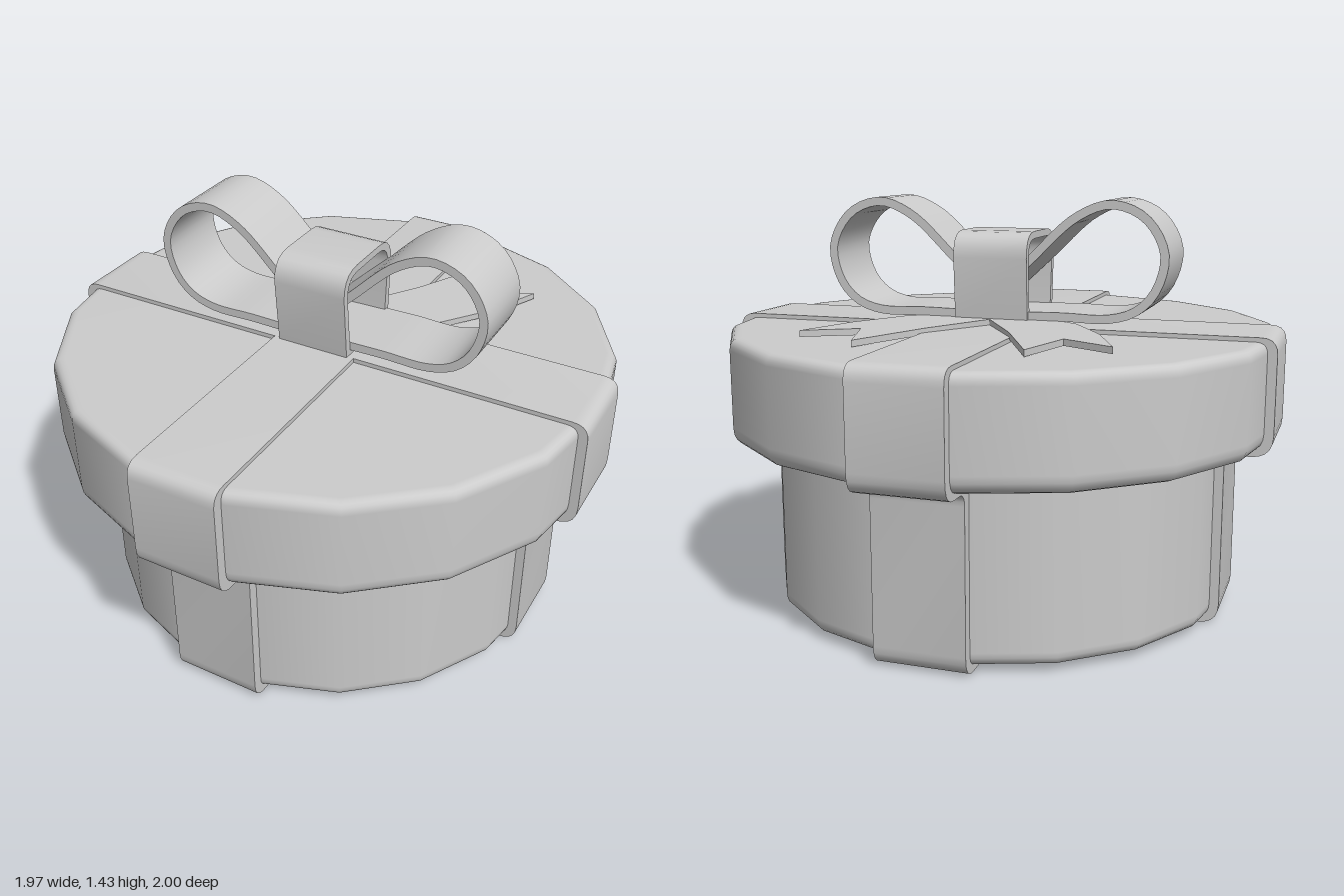
import * as THREE from 'three';
import { toCreasedNormals } from 'three/addons/utils/BufferGeometryUtils.js';

const material = new THREE.MeshStandardMaterial({ color: 0xcccccc });
const SIDES = 18;

function addMesh(group, name, geometry) {
  const mesh = new THREE.Mesh(geometry, material);
  mesh.name = name;
  group.add(mesh);
  return mesh;
}

// Extrude a shape, centred on its depth, with smooth curves and sharp edges
function slab(shape, depth) {
  const geo = new THREE.ExtrudeGeometry(shape, { depth, bevelEnabled: false, curveSegments: 5 });
  geo.translate(0, 0, -depth / 2);
  return toCreasedNormals(geo, 0.6);
}

// Round each corner [x, y, radius] of an open outline; returns Vector2 points
function roundedLine(corners) {
  const pts = [];
  corners.forEach(([x, y, r], i) => {
    const p = new THREE.Vector2(x, y);
    if (!r) return pts.push(p);
    const toward = ([a, b]) => new THREE.Vector2(a - x, b - y).setLength(r).add(p);
    const curve = new THREE.QuadraticBezierCurve(toward(corners[i - 1]), p, toward(corners[i + 1]));
    pts.push(...curve.getPoints(5));
  });
  return pts;
}

function turned(corners) {
  return new THREE.LatheGeometry(roundedLine(corners), SIDES, Math.PI / SIDES);
}

// Silhouette of a ribbon wrapped round the box and its lid
function wrapShape(bodyR, lidR) {
  const right = roundedLine([
    [0, 0], [bodyR, 0, 0.07], [bodyR, 0.6, 0.045], [lidR, 0.6, 0.075], [lidR, 1, 0.055], [0, 1],
  ]);
  const left = right.slice(1, -1).reverse().map((p) => new THREE.Vector2(-p.x, p.y));
  return new THREE.Shape([...right, ...left]);
}

// Thickened centre line of a bow loop
function stripShape(points, thickness) {
  const curve = new THREE.CatmullRomCurve3(points.map(([x, y]) => new THREE.Vector3(x, y, 0)));
  const outer = [], inner = [];
  const n = 48;
  for (let i = 0; i <= n; i++) {
    const p = curve.getPointAt(i / n);
    const t = curve.getTangentAt(i / n);
    const h = thickness / 2;
    outer.push(new THREE.Vector2(p.x - t.y * h, p.y + t.x * h));
    inner.unshift(new THREE.Vector2(p.x + t.y * h, p.y - t.x * h));
  }
  return new THREE.Shape([...outer, ...inner]);
}

// Arched outline of the knot, in the z-y plane
function knotOutline(target, zBack, zFront, bottom, top, r) {
  target.moveTo(zBack + 0.015, bottom);
  target.lineTo(zFront - 0.02, bottom);
  target.lineTo(zFront, top - r);
  target.quadraticCurveTo(zFront, top, zFront - r, top);
  target.lineTo(zBack + r, top);
  target.quadraticCurveTo(zBack, top, zBack, top - r);
  target.closePath();
  return target;
}

export function createModel() {
  const model = new THREE.Group();
  model.name = 'giftBox';

  // Box and lid
  addMesh(model, 'boxBody', turned([[0, 0.022], [0.82, 0.022, 0.05], [0.82, 0.65]]));
  addMesh(model, 'lid', turned([
    [0, 0.618], [0.978, 0.618, 0.065], [0.978, 0.985, 0.04], [0, 0.985],
  ]));

  // Crossed wrapping ribbons
  addMesh(model, 'sideRibbon', slab(wrapShape(0.825, 0.983), 0.306));
  addMesh(model, 'frontRibbon', slab(wrapShape(0.84, 1.0), 0.31)).rotation.y = -Math.PI / 2;

  const bow = new THREE.Group();
  bow.name = 'bow';
  model.add(bow);

  const loopPath = [
    [0.0, 1.10], [0.13, 1.22], [0.30, 1.375], [0.42, 1.418], [0.535, 1.375], [0.602, 1.26],
    [0.575, 1.135], [0.51, 1.065], [0.42, 1.035], [0.25, 1.035], [0.0, 1.03],
  ];
  // Tail outline as x and distance behind the centre
  const tailPath = [
    [0.0, 0.02], [0.0, 0.16], [0.145, 0.39], [0.285, 0.67], [0.35, 0.46],
    [0.53, 0.55], [0.435, 0.34], [0.315, 0.17], [0.25, 0.13], [0.12, 0.02],
  ];
  for (const s of [1, -1]) {
    const side = s > 0 ? 'left' : 'right';

    // Loops
    const loop = slab(stripShape(loopPath.map(([x, y]) => [s * x, y]), 0.03), 0.27);
    addMesh(bow, side + 'Loop', loop);

    // Forked tails, sloping down toward their tips
    const shape = new THREE.Shape(tailPath.map(([x, d]) => new THREE.Vector2(s * x, d)));
    const tail = slab(shape, 0.022).rotateX(-Math.PI / 2);
    const pos = tail.attributes.position;
    for (let i = 0; i < pos.count; i++) {
      pos.setY(i, pos.getY(i) + 1.012 + 0.02 * pos.getZ(i));
    }
    addMesh(bow, side + 'Tail', tail);
  }

  // Hollow knot band
  const knot = knotOutline(new THREE.Shape(), -0.16, 0.18, 1.0, 1.32, 0.09);
  knot.holes.push(knotOutline(new THREE.Path(), -0.135, 0.155, 1.02, 1.295, 0.07));
  addMesh(bow, 'knot', slab(knot, 0.265)).rotation.y = -Math.PI / 2;

  return model;
}
